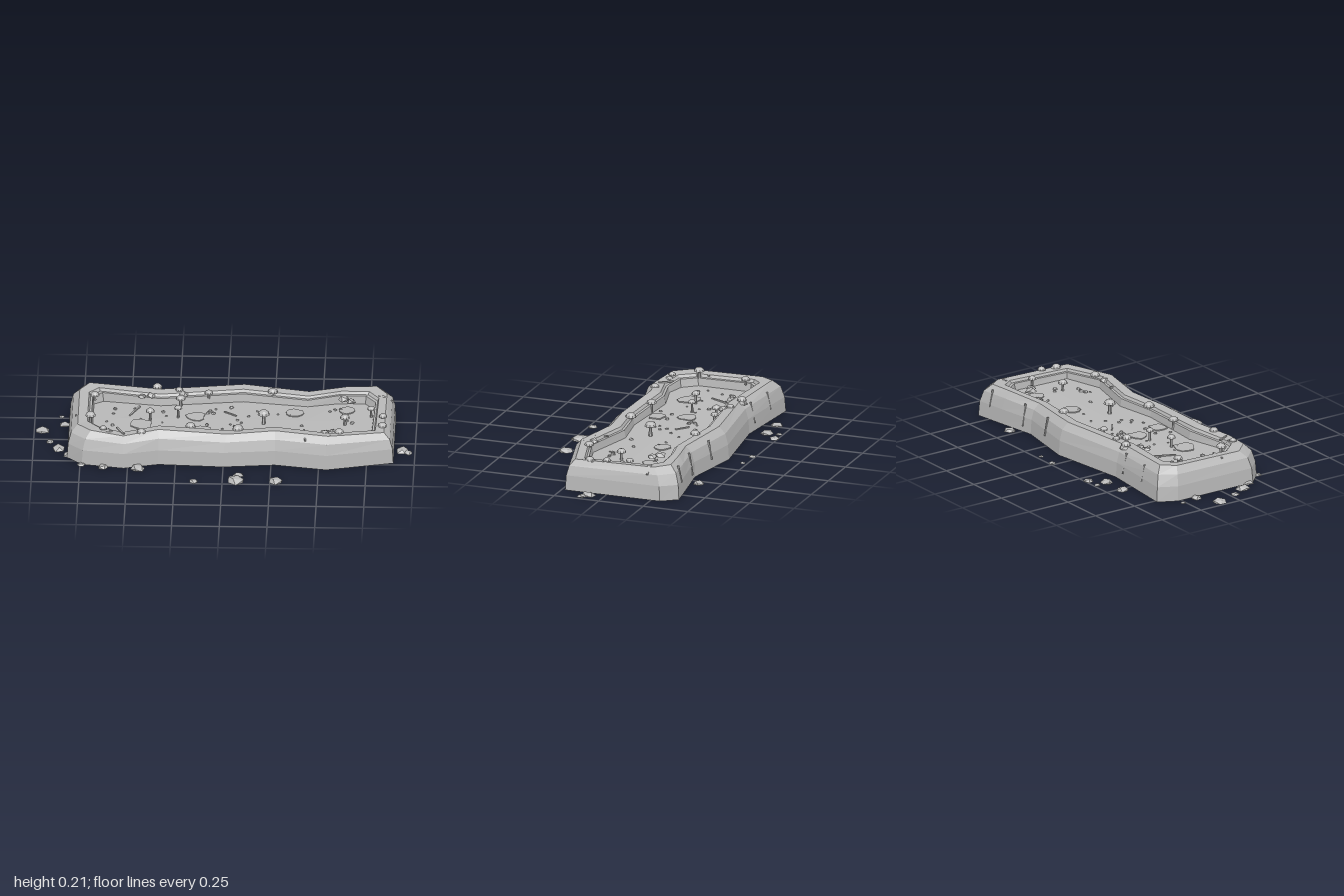
import * as THREE from 'three';

const stone = new THREE.MeshStandardMaterial({ color: 0xb8b8b8, flatShading: true, side: THREE.DoubleSide });
stone.name = 'grey stone';

let seed = 7;
const rand = () => (seed = (seed * 16807) % 2147483647) / 2147483647;

// Matching corner points [x, z] of the outer foot and of the basin opening
const outer = [[-0.82, 0.21], [-0.82, -0.27], [-0.77, -0.37], [-0.34, -0.33], [0.1, -0.385], [0.44, -0.325],
  [0.66, -0.36], [0.83, -0.385], [0.89, -0.3], [0.89, 0.23], [0.54, 0.32], [0.27, 0.27], [0.0, 0.3],
  [-0.34, 0.28], [-0.52, 0.33], [-0.74, 0.29]];
const inner = [[-0.69, 0.09], [-0.69, -0.2], [-0.64, -0.235], [-0.34, -0.19], [0.09, -0.25], [0.43, -0.2],
  [0.59, -0.24], [0.73, -0.24], [0.78, -0.18], [0.77, 0.14], [0.56, 0.2], [0.27, 0.13], [0.05, 0.165],
  [-0.34, 0.14], [-0.53, 0.19], [-0.63, 0.165]];
const topLift = [0.003, 0.008, 0.012, 0, 0.006, -0.004, 0.008, 0.006, 0, -0.008, 0.004, 0.004, -0.004, 0.008, -0.008, 0.006];
const FLOOR = 0.115;

function add(group, name, geometry, x = 0, y = 0, z = 0) {
  const mesh = new THREE.Mesh(geometry, stone);
  mesh.name = name;
  mesh.position.set(x, y, z);
  group.add(mesh);
  return mesh;
}

// Skin a list of closed rings
function skin(rings) {
  const pos = [];
  for (let r = 0; r < rings.length - 1; r++) {
    const lo = rings[r], up = rings[r + 1], n = lo.length;
    for (let i = 0; i < n; i++) {
      const j = (i + 1) % n;
      pos.push(...lo[j], ...lo[i], ...up[i], ...lo[j], ...up[i], ...up[j]);
    }
  }
  const g = new THREE.BufferGeometry();
  g.setAttribute('position', new THREE.Float32BufferAttribute(pos, 3));
  g.computeVertexNormals();
  return g;
}

// Ring at blend t between foot and opening
const ring = (t, y, lift) => outer.map(([x, z], i) => [
  x + (inner[i][0] - x) * t, y + topLift[i] * lift, z + (inner[i][1] - z) * t]);

// Irregular low stone, flat underneath
function rockGeometry(r, h) {
  const g = new THREE.IcosahedronGeometry(1, 0);
  const p = g.attributes.position, a = rand() * 6;
  for (let i = 0; i < p.count; i++) {
    const x = p.getX(i), y = p.getY(i), z = p.getZ(i);
    const k = 0.95 + 0.16 * Math.sin(x * 5 + a) * Math.cos(z * 4 - a) + 0.08 * Math.sin(y * 7 + a);
    p.setXYZ(i, x * k * r, Math.max(y * k, 0) * h, z * k * r);
  }
  g.rotateY(a);
  g.computeVertexNormals();
  return g;
}

function mushroom(x, z, r, base, top) {
  const g = new THREE.Group();
  g.name = 'mushroom';
  const capH = r * 0.9, stemH = top - base - capH;
  add(g, 'mushroomStem', new THREE.CylinderGeometry(r * 0.25, r * 0.32, stemH + 0.006, 6), 0, stemH / 2, 0);
  const profile = [[0, 0.1], [0.75, 0], [1, 0.12], [0.85, 0.55], [0.5, 0.88], [0, 1]]
    .map(([u, v]) => new THREE.Vector2(u * r, v * capH));
  add(g, 'mushroomCap', new THREE.LatheGeometry(profile, 9), 0, stemH, 0);
  g.position.set(x, base, z);
  g.rotation.y = rand() * 6;
  return g;
}

// Thin dark-edged crack lying between two points
function crack(group, a, b, w) {
  const p = new THREE.Vector3(...a), q = new THREE.Vector3(...b);
  const m = add(group, 'crack', new THREE.BoxGeometry(w, 0.008, p.distanceTo(q)));
  m.position.copy(p).add(q).multiplyScalar(0.5);
  m.lookAt(q);
}

export function createModel() {
  const model = new THREE.Group();
  model.name = 'stoneTrough';

  // Walls, chamfered rim, stepped inner edge
  add(model, 'basinWall', skin([ring(0, 0, 0), ring(0.04, 0.08, 0), ring(0.16, 0.135, 0.6), ring(0.42, 0.168, 1),
    ring(0.8, 0.164, 1), ring(0.86, 0.15, 0.8), ring(0.95, 0.148, 0.8), ring(1, FLOOR - 0.005, 0)]));
  // Floor, rising slightly towards a centre line
  const spine = inner.map(([x]) => [Math.min(0.6, Math.max(-0.55, x)), FLOOR, -0.03]);
  add(model, 'basinFloor', skin([ring(1, FLOOR - 0.005, 0), spine]));

  // Loose stones on the ground: x, z, radius
  [[-0.96, -0.1, 0.042], [-0.915, 0.03, 0.024], [-0.865, 0.11, 0.04], [-0.81, 0.18, 0.035], [-0.86, -0.265, 0.017],
    [-0.84, -0.17, 0.032], [-0.52, -0.415, 0.034], [-0.38, -0.415, 0.04], [-0.385, -0.48, 0.02], [-0.305, -0.485, 0.03],
    [0.02, -0.485, 0.022], [0.135, -0.475, 0.016], [0.54, -0.385, 0.036], [0.935, 0.085, 0.04], [0.965, 0.11, 0.025],
    [-0.15, 0.475, 0.028], [0.07, 0.46, 0.055], [0.08, 0.4, 0.032], [0.28, 0.46, 0.045], [-0.445, 0.335, 0.042],
    [-0.63, 0.32, 0.032], [-0.745, 0.295, 0.024]]
    .forEach(([x, z, r]) => add(model, 'groundStone', rockGeometry(r, r * 0.55), x, 0, z));

  // Stones resting on the rim
  [[0.45, 0.235, 0.025], [0.53, 0.21, 0.03], [0.55, 0.245, 0.025], [0.6, 0.225, 0.02], [0.62, -0.2, 0.035],
    [0.66, -0.17, 0.028], [0.58, -0.27, 0.022], [-0.36, -0.285, 0.03], [-0.39, -0.21, 0.025], [-0.22, -0.23, 0.028],
    [-0.44, -0.2, 0.022], [0.83, -0.22, 0.02], [0.83, 0.1, 0.022], [-0.6, 0.22, 0.025]]
    .forEach(([x, z, r]) => add(model, 'rimStone', rockGeometry(r, r * 0.8), x, 0.155, z));

  // Mushrooms: x, z, cap radius, foot height, top height
  [[0.205, 0.015, 0.032, FLOOR, 0.195], [0.63, 0.015, 0.026, FLOOR, 0.175], [-0.245, -0.045, 0.022, FLOOR, 0.185],
    [-0.175, 0.155, 0.027, FLOOR, 0.185], [0.075, 0.175, 0.03, FLOOR, 0.185], [0.245, -0.25, 0.027, 0.14, 0.19],
    [-0.39, -0.01, 0.024, FLOOR, 0.185], [-0.235, -0.185, 0.026, FLOOR, 0.175], [-0.09, -0.23, 0.022, 0.14, 0.185],
    [-0.36, -0.28, 0.026, 0.16, 0.195], [-0.245, -0.26, 0.02, 0.16, 0.185], [-0.43, 0.235, 0.024, 0.155, 0.185],
    [0.605, 0.205, 0.026, 0.15, 0.185], [0.83, 0.02, 0.022, 0.155, 0.185], [0.83, 0.115, 0.025, 0.15, 0.18],
    [0.765, -0.085, 0.022, FLOOR, 0.175], [-0.685, -0.175, 0.025, 0.15, 0.195], [-0.7, 0.09, 0.028, 0.15, 0.21],
    [-0.63, 0.215, 0.02, 0.155, 0.19]]
    .forEach(m => model.add(mushroom(...m)));

  // Pebbles scattered over the floor
  for (let i = 0; i < 42; i++) {
    const r = 0.006 + rand() * 0.008;
    add(model, 'pebble', rockGeometry(r, r), -0.62 + rand() * 1.33, FLOOR - 0.002, -0.17 + rand() * 0.29);
  }

  // Flat flaked patches on the floor
  [[-0.44, 0.045, 0.06], [-0.155, -0.055, 0.055], [-0.12, 0.1, 0.05], [0.365, -0.11, 0.045], [0.64, -0.15, 0.04]]
    .forEach(([x, z, r]) => {
      const pts = Array.from({ length: 11 }, (_, i) => {
        const a = i / 11 * Math.PI * 2, k = r * (0.75 + rand() * 0.4);
        return new THREE.Vector2(Math.cos(a) * k, Math.sin(a) * k);
      });
      const g = new THREE.ExtrudeGeometry(new THREE.Shape(pts), { depth: 0.006, bevelEnabled: false });
      add(model, 'floorFlake', g.rotateX(-Math.PI / 2), x, FLOOR - 0.002, z);
    });

  // Cracks on the floor, over the rim and down the walls
  [[[-0.5, FLOOR, -0.06], [-0.45, FLOOR, -0.17]], [[-0.005, FLOOR, -0.12], [0.06, FLOOR, -0.07]],
    [[0.8, 0.166, -0.225], [0.88, 0.135, -0.225]], [[-0.78, 0.16, 0.04], [-0.7, 0.166, 0.04]],
    [[-0.56, 0.164, 0.18], [-0.52, 0.16, 0.25]], [[0.42, 0.16, 0.17], [0.43, 0.15, 0.28]],
    [[-0.41, 0.15, -0.31], [-0.41, 0.04, -0.335]], [[0.27, 0.15, -0.335], [0.27, 0.05, -0.355]],
    [[0.5, 0.15, -0.315], [0.5, 0.03, -0.335]], [[-0.6, 0.15, -0.33], [-0.6, 0.06, -0.35]],
    [[0.75, 0.16, -0.35], [0.75, 0.07, -0.37]]]
    .forEach(([a, b]) => crack(model, a, b, 0.009));

  return model;
}
